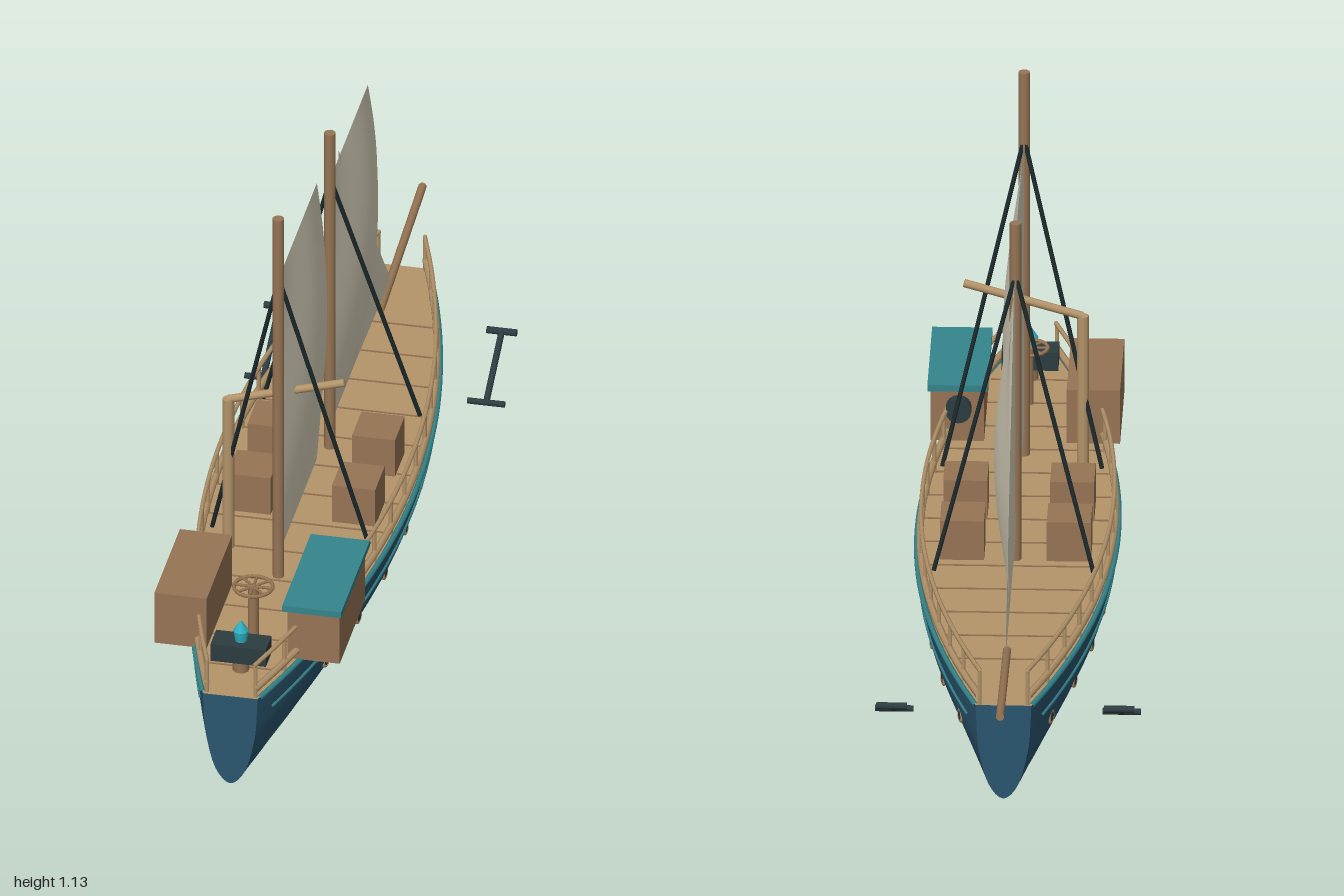
import * as THREE from 'three';

const mat = (name, color, side = THREE.FrontSide) => {
  const m = new THREE.MeshStandardMaterial({ color, side });
  m.name = name;
  return m;
};
const V = (x, y, z) => new THREE.Vector3(x, y, z);

const Z0 = 1, Z1 = -0.785, DECK = 0.223;
// Half width of the hull at deck level
const halfWidth = z => 0.06 + 0.157 * (1 - Math.min(1, ((z - 0.1075) / 0.8925) ** 2));

// Grid surface from a rule fn(u, v)
function surface(nu, nv, fn) {
  const pos = [], idx = [];
  for (let i = 0; i <= nu; i++)
    for (let j = 0; j <= nv; j++) pos.push(...fn(i / nu, j / nv));
  for (let i = 0; i < nu; i++)
    for (let j = 0; j < nv; j++) {
      const a = i * (nv + 1) + j, b = a + nv + 1;
      idx.push(a, b, a + 1, b, b + 1, a + 1);
    }
  const g = new THREE.BufferGeometry();
  g.setAttribute('position', new THREE.Float32BufferAttribute(pos, 3));
  g.setIndex(idx);
  g.computeVertexNormals();
  return g;
}

export function createModel() {
  const root = new THREE.Group();
  root.name = 'sailingShip';
  const hullBlue = mat('hullBlue', 0x2a5670);
  const teal = mat('tealTrim', 0x35868c);
  const tan = mat('tanWood', 0xb4946a);
  const brown = mat('brownWood', 0x967454);
  const iron = mat('darkIron', 0x2c3c40);
  const rope = mat('darkRope', 0x1c2a2c);
  const glow = mat('cyanGlass', 0x2fb0c4);
  const canvas = mat('sailCanvas', 0xd9d2bc, THREE.DoubleSide);

  const add = (name, geo, m, x = 0, y = 0, z = 0, parent = root) => {
    const mesh = new THREE.Mesh(geo, m);
    mesh.name = name;
    mesh.position.set(x, y, z);
    parent.add(mesh);
    return mesh;
  };
  const box = (name, w, h, d, m, x, y, z) => add(name, new THREE.BoxGeometry(w, h, d), m, x, y, z);
  // Round bar between two points
  const bar = (name, a, b, r, m, sides = 10) => {
    const mesh = add(name, new THREE.CylinderGeometry(r, r, a.distanceTo(b), sides), m);
    mesh.position.copy(a).lerp(b, 0.5);
    mesh.quaternion.setFromUnitVectors(V(0, 1, 0), b.clone().sub(a).normalize());
    return mesh;
  };
  // Tube that follows the side of the hull
  const sideTube = (name, s, y, offset, scale, zA, zB, r, m) => {
    const pts = [];
    for (let i = 0; i <= 16; i++) {
      const z = zA + (zB - zA) * i / 16;
      pts.push(V(s * (halfWidth(z) * scale + offset), y, z));
    }
    add(name, new THREE.TubeGeometry(new THREE.CatmullRomCurve3(pts), 40, r, 6), m);
  };

  // Hull: one rounded section scaled along the length, closed at both ends
  const half = [[1, DECK], [0.97, 0.18], [0.89, 0.12], [0.55, 0.038]];
  const section = new THREE.SplineCurve([
    ...half.map(([x, y]) => new THREE.Vector2(-x, y)),
    new THREE.Vector2(0, 0.002),
    ...half.slice().reverse().map(([x, y]) => new THREE.Vector2(x, y)),
  ]);
  const zAt = u => Z0 + (Z1 - Z0) * u;
  add('hull', surface(40, 32, (u, v) => {
    const p = section.getPoint(v), z = zAt(u);
    return [p.x * halfWidth(z), Math.max(0, p.y), z];
  }), hullBlue);
  const endShape = new THREE.Shape(section.getPoints(32)
    .map(p => new THREE.Vector2(p.x * 0.06, Math.max(0, p.y))));
  add('hullFrontEnd', new THREE.ShapeGeometry(endShape), hullBlue, 0, 0, Z0);
  add('hullBackEnd', new THREE.ShapeGeometry(endShape), hullBlue, 0, 0, Z1).rotation.y = Math.PI;

  // Deck with cross seams
  add('deck', surface(40, 2, (u, v) => [(1 - 2 * v) * halfWidth(zAt(u)), DECK, zAt(u)]), tan);
  for (let i = 0; i < 13; i++) {
    const z = -0.55 + i * 0.119;
    box('deckSeam', 2 * halfWidth(z) - 0.03, 0.003, 0.003, brown, 0, DECK + 0.001, z);
  }

  // Trim, rails, portholes, anchors and shrouds on both sides
  for (const s of [1, -1]) {
    sideTube('deckTrim', s, 0.222, 0, 1, 0.995, Z1, 0.006, teal);
    sideTube('hullStripe', s, 0.17, 0, 0.965, 0.94, -0.72, 0.004, teal);
    sideTube('lowerRail', s, 0.245, -0.008, 1, 0.998, Z1, 0.008, tan);
    sideTube('topRail', s, 0.304, -0.01, 1, 0.998, Z1, 0.005, tan);
    for (let i = 0; i <= 15; i++) {
      const z = 0.99 - i * 0.118, x = s * (halfWidth(z) - 0.01);
      bar('railPost', V(x, DECK, z), V(x, 0.304, z), 0.005, tan, 6);
    }
    for (let i = 0; i < 8; i++) {
      const z = 0.67 - i * 0.187;
      const group = new THREE.Group();
      group.name = 'porthole';
      group.position.set(s * halfWidth(z) * 0.908, 0.131, z);
      const slope = 2 * 0.157 * (z - 0.1075) / 0.8925 ** 2;
      group.rotation.y = s * (Math.PI / 2 - Math.atan(slope));
      root.add(group);
      add('portholeRing', new THREE.TorusGeometry(0.013, 0.004, 8, 16), tan, 0, 0, 0, group);
      add('portholeGlass', new THREE.CircleGeometry(0.012, 16), iron, 0, 0, 0.003, group);
    }
    const x = s * 0.245;
    bar('anchorShaft', V(x, 0.08, -0.5), V(x, 0.163, -0.665), 0.007, iron);
    bar('anchorLowerBar', V(x - 0.041, 0.081, -0.502), V(x + 0.041, 0.081, -0.502), 0.007, iron);
    bar('anchorUpperBar', V(x - 0.033, 0.162, -0.665), V(x + 0.033, 0.162, -0.665), 0.008, iron);
    bar('mainShroud', V(0, 0.975, 0.495), V(s * 0.172, 0.25, 0.375), 0.005, rope, 6);
    bar('foreShroud', V(0, 0.9, -0.04), V(s * 0.172, 0.25, -0.158), 0.005, rope, 6);

    // Deck crates
    for (const z of [0.005, 0.212])
      box('deckCrate', 0.095, 0.092, 0.1, brown, s * 0.115, 0.269, z);
  }

  // Masts and bowsprit
  bar('mainMast', V(0, DECK, 0.5), V(0, 1.13, 0.5), 0.0125, brown, 12);
  bar('foreMast', V(0, DECK, -0.035), V(0, 1.02, -0.035), 0.0125, brown, 12);
  bar('bowsprit', V(0, 0.25, -0.56), V(0, 0.295, -0.999), 0.009, brown);

  // Sails bellying to one side
  const sail = (name, luff, leech, foot, head) =>
    add(name, surface(16, 20, (u, v) => {
      const end = leech - 0.1 * Math.sin(Math.PI * v);
      return [0.037 * Math.sin(Math.PI * u) * Math.sin(Math.PI * v),
        foot + (head - foot) * v, luff + (end - luff) * u];
    }), canvas);
  sail('mainSail', 0.49, 0.1, 0.275, 0.975);
  sail('foreSail', -0.045, -0.43, 0.275, 0.9);
  // Triangular jib: foot below, peak on top
  add('jib', surface(10, 16, (u, v) => [
    0.012 * Math.sin(Math.PI * u) * Math.sin(Math.PI * v),
    0.28 + 0.64 * v - 0.015 * u * (1 - v),
    -0.15 + 0.025 * v - 0.515 * u * (1 - v),
  ]), canvas);

  // Cabin with overhanging roof and a round vent, and the plain cabin opposite
  box('cabin', 0.115, 0.126, 0.262, brown, 0.146, 0.287, 0.693);
  box('cabinRoof', 0.13, 0.015, 0.298, teal, 0.145, 0.357, 0.69);
  const vent = add('cabinVent', new THREE.CylinderGeometry(0.028, 0.028, 0.025, 16), iron, 0.143, 0.305, 0.548);
  vent.rotation.x = Math.PI / 2;
  box('plainCabin', 0.115, 0.126, 0.265, brown, -0.147, 0.287, 0.69);

  // Cargo crane
  bar('cranePost', V(-0.13, DECK, 0.405), V(-0.13, 0.598, 0.405), 0.013, tan);
  bar('craneBoom', V(-0.13, 0.597, 0.405), V(0.126, 0.671, 0.405), 0.009, tan);

  // Steering wheel lying flat on its column
  bar('wheelColumn', V(0, DECK, 0.76), V(0, 0.355, 0.76), 0.012, brown);
  add('wheelRim', new THREE.TorusGeometry(0.042, 0.004, 8, 24), brown, 0, 0.355, 0.76).rotation.x = Math.PI / 2;
  for (let i = 0; i < 4; i++) {
    const c = 0.046 * Math.cos(i * Math.PI / 4), d = 0.046 * Math.sin(i * Math.PI / 4);
    bar('wheelSpoke', V(-c, 0.355, 0.76 - d), V(c, 0.355, 0.76 + d), 0.003, brown, 6);
  }

  // Lantern
  bar('lanternFoot', V(0, DECK, 0.888), V(0, 0.26, 0.888), 0.018, brown);
  box('lanternBase', 0.122, 0.042, 0.06, iron, 0, 0.276, 0.888);
  add('lanternGlass', new THREE.CylinderGeometry(0.017, 0.013, 0.026, 8), glow, 0, 0.309, 0.888);
  add('lanternTip', new THREE.ConeGeometry(0.017, 0.026, 8), glow, 0, 0.335, 0.888);

  return root;
}
